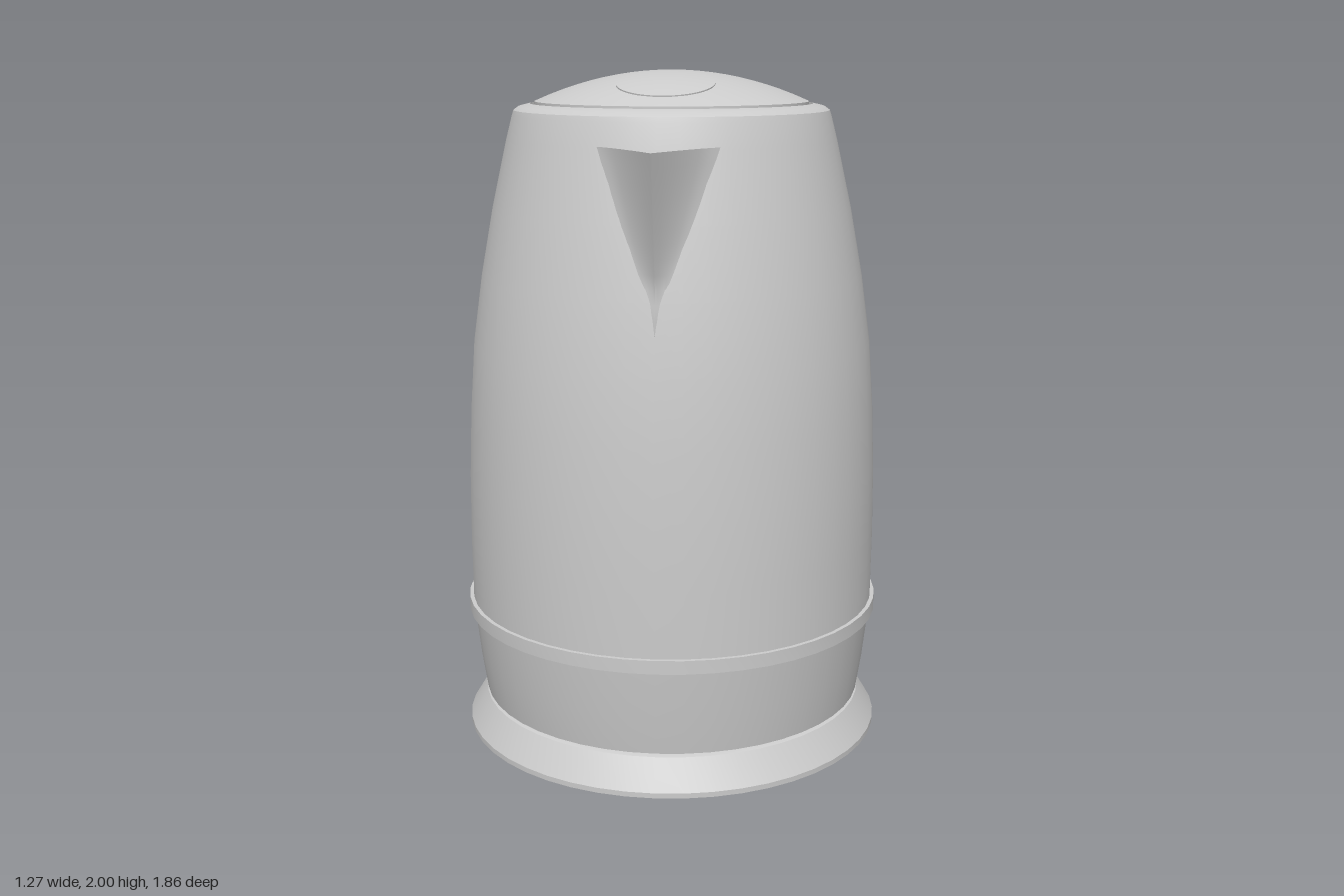
import * as THREE from 'three';
import { toCreasedNormals } from 'three/addons/utils/BufferGeometryUtils.js';

const CZ = 0.24; // centre of the round body along z
const solid = new THREE.MeshStandardMaterial({ color: 0xcccccc });
const thin = new THREE.MeshStandardMaterial({ color: 0xcccccc, side: THREE.DoubleSide });

// Body outline above the ring, as [radius, height]
const WALL = [[0.62, 0.41], [0.622, 0.6], [0.62, 0.8], [0.612, 1.0], [0.598, 1.2], [0.57, 1.4], [0.533, 1.6],
  [0.488, 1.8], [0.47, 1.87]];

function wallRadius(y) {
  for (let i = 1; i < WALL.length; i++) {
    const [r0, y0] = WALL[i - 1], [r1, y1] = WALL[i];
    if (y <= y1 || i === WALL.length - 1) return r0 + (r1 - r0) * (y - y0) / (y1 - y0);
  }
}

function add(parent, name, geometry, material = solid) {
  const mesh = new THREE.Mesh(geometry, material);
  mesh.name = name;
  parent.add(mesh);
  return mesh;
}

function turned(parent, name, profile, crease = 0.45) {
  const geo = new THREE.LatheGeometry(profile.map(([r, y]) => new THREE.Vector2(r, y)), 48);
  const mesh = add(parent, name, toCreasedNormals(geo, crease));
  mesh.position.z = CZ;
  return mesh;
}

// Skin a list of equal-length cross-sections
function loft(rows, crease = 0.7) {
  const n = rows[0].length, index = [];
  for (let i = 0; i < rows.length - 1; i++) {
    for (let j = 0; j < n - 1; j++) {
      const a = i * n + j, b = a + 1, c = a + n, d = c + 1;
      index.push(a, c, b, b, c, d);
    }
  }
  const geo = new THREE.BufferGeometry();
  geo.setAttribute('position', new THREE.Float32BufferAttribute(rows.flat(2), 3));
  geo.setIndex(index);
  return toCreasedNormals(geo, crease);
}

// Handle stations: outer z, outer y, inner z, inner y, half width
const HANDLE = [
  [-0.18, 1.88, -0.22, 1.69, 0.155], [-0.38, 1.92, -0.38, 1.72, 0.147], [-0.55, 1.9, -0.5, 1.7, 0.14],
  [-0.72, 1.815, -0.62, 1.61, 0.135], [-0.87, 1.62, -0.715, 1.49, 0.128], [-0.93, 1.33, -0.742, 1.32, 0.122],
  [-0.89, 1.1, -0.7, 1.11, 0.12], [-0.81, 0.87, -0.635, 0.91, 0.118], [-0.7, 0.7, -0.555, 0.76, 0.115],
  [-0.57, 0.56, -0.46, 0.68, 0.112], [-0.33, 0.43, -0.33, 0.67, 0.11]];

function handleSkin(t0, t1, steps, a0, a1, grow) {
  const outer = new THREE.CatmullRomCurve3(HANDLE.map(h => new THREE.Vector3(h[4], h[1], h[0])));
  const inner = new THREE.CatmullRomCurve3(HANDLE.map(h => new THREE.Vector3(h[4], h[3], h[2])));
  const rows = [];
  for (let i = 0; i <= steps; i++) {
    const t = t0 + (t1 - t0) * i / steps;
    const o = outer.getPoint(t), n = inner.getPoint(t), row = [];
    const mid = o.clone().add(n).multiplyScalar(0.5), half = o.clone().sub(n).multiplyScalar(0.5);
    for (let j = 0; j <= 20; j++) {
      const a = a0 + (a1 - a0) * j / 20, c = Math.cos(a) * grow, s = Math.sin(a) * grow;
      // slightly squared oval
      const x = Math.sign(s) * Math.pow(Math.abs(s), 0.85) * o.x;
      row.push([x, mid.y + half.y * c, mid.z + half.z * c]);
    }
    rows.push(row);
  }
  return loft(rows);
}

export function createModel() {
  const kettle = new THREE.Group();
  kettle.name = 'kettle';

  // Power base, lower band, trim ring and body
  turned(kettle, 'powerBase', [[0, 0], [0.637, 0], [0.637, 0.015], [0.585, 0.1], [0.57, 0.105], [0, 0.105]]);
  turned(kettle, 'lowerBand', [[0, 0.11], [0.583, 0.11], [0.6, 0.22], [0.617, 0.37]]);
  turned(kettle, 'trimRing', [[0.6, 0.37], [0.632, 0.37], [0.632, 0.41], [0.6, 0.41]]);
  turned(kettle, 'body', [...WALL, [0.465, 1.885], [0.45, 1.896], [0.416, 1.904], [0.413, 1.89], [0.38, 1.89]]);

  // Domed lid with a round button near the front
  const dome = [[0.404, 1.89], [0.404, 1.91]];
  for (let i = 1; i <= 10; i++) {
    const r = 0.4 * (1 - i / 10);
    dome.push([r, 1.912 + 0.088 * (1 - (r / 0.4) ** 2)]);
  }
  turned(kettle, 'lid', dome);
  const button = turned(kettle, 'lidButton', [[0.14, -0.02], [0.14, 0], [0.1, 0.006], [0.05, 0.01], [0, 0.011]]);
  button.position.set(0, 1.968, 0.452);
  button.rotation.x = 0.225;

  // Open V-shaped spout with hollow flanks
  const spout = [];
  for (let i = 0; i <= 12; i++) {
    const t = i / 12, y = 1.31 + 0.495 * t, w = 0.175 * t, r = wallRadius(y);
    const side = CZ + Math.sqrt(r * r - w * w) - 0.005;
    const tip = Math.max(CZ + r + 0.004, 0.927 - (1.805 - y) * 0.31);
    const row = [];
    for (let j = -6; j <= 6; j++) {
      const u = Math.abs(j) / 6;
      row.push([w * j / 6, y, side + (tip - side) * Math.pow(1 - u, 1.25)]);
    }
    spout.push(row);
  }
  add(kettle, 'spout', loft(spout, 0.5), thin);

  // Mounting strip running down the back of the body
  const strip = [];
  for (let i = 0; i <= 16; i++) {
    const t = i / 16, y = 0.43 + 1.45 * t, w = 0.105 + 0.052 * t, r = wallRadius(y);
    const edge = CZ - Math.sqrt(r * r - w * w) + 0.02, back = CZ - r - 0.014;
    strip.push([[-w, y, edge], [-w, y, back + 0.012], [-w * 0.6, y, back], [w * 0.6, y, back],
      [w, y, back + 0.012], [w, y, edge]]);
  }
  // close both ends by drawing them back into the body
  for (const end of [0, 16]) {
    const cap = strip[end].map(([x, y]) => [x, y, CZ - wallRadius(y) + 0.05]);
    if (end) strip.push(cap); else strip.unshift(cap);
    if (!end) strip.cappedStart = true;
  }
  add(kettle, 'handleMount', loft(strip), thin);

  // Handle loop with a raised grip along its outer side
  add(kettle, 'handle', handleSkin(0, 1, 36, 0, Math.PI * 2, 1), thin);
  add(kettle, 'handleGrip', handleSkin(0.11, 0.9, 30, -1.1, 1.1, 1.02), thin);

  // Small slide button on top of the handle
  const slide = new THREE.Shape();
  slide.absarc(0, 0.06, 0.05, 0, Math.PI);
  slide.absarc(0, -0.06, 0.05, Math.PI, Math.PI * 2);
  const catchMesh = add(kettle, 'handleButton', new THREE.ExtrudeGeometry(slide,
    { depth: 0.03, bevelSize: 0.006, bevelThickness: 0.006, bevelSegments: 2 }));
  catchMesh.position.set(0, 1.85, -0.605);
  catchMesh.rotation.x = -Math.PI / 2 - 0.38;

  // Switch lever low at the back
  const lever = new THREE.Shape();
  lever.moveTo(-0.075, -0.04);
  lever.lineTo(0.075, -0.04);
  lever.lineTo(0.09, 0.12);
  lever.quadraticCurveTo(0.08, 0.215, 0, 0.22);
  lever.quadraticCurveTo(-0.08, 0.215, -0.09, 0.12);
  const leverMesh = add(kettle, 'switchLever', new THREE.ExtrudeGeometry(lever,
    { depth: 0.018, bevelSize: 0.006, bevelThickness: 0.006, bevelSegments: 2 }));
  leverMesh.position.set(0, 0.26, -0.335);
  leverMesh.rotation.x = -Math.PI / 2 - 0.09;

  return kettle;
}
